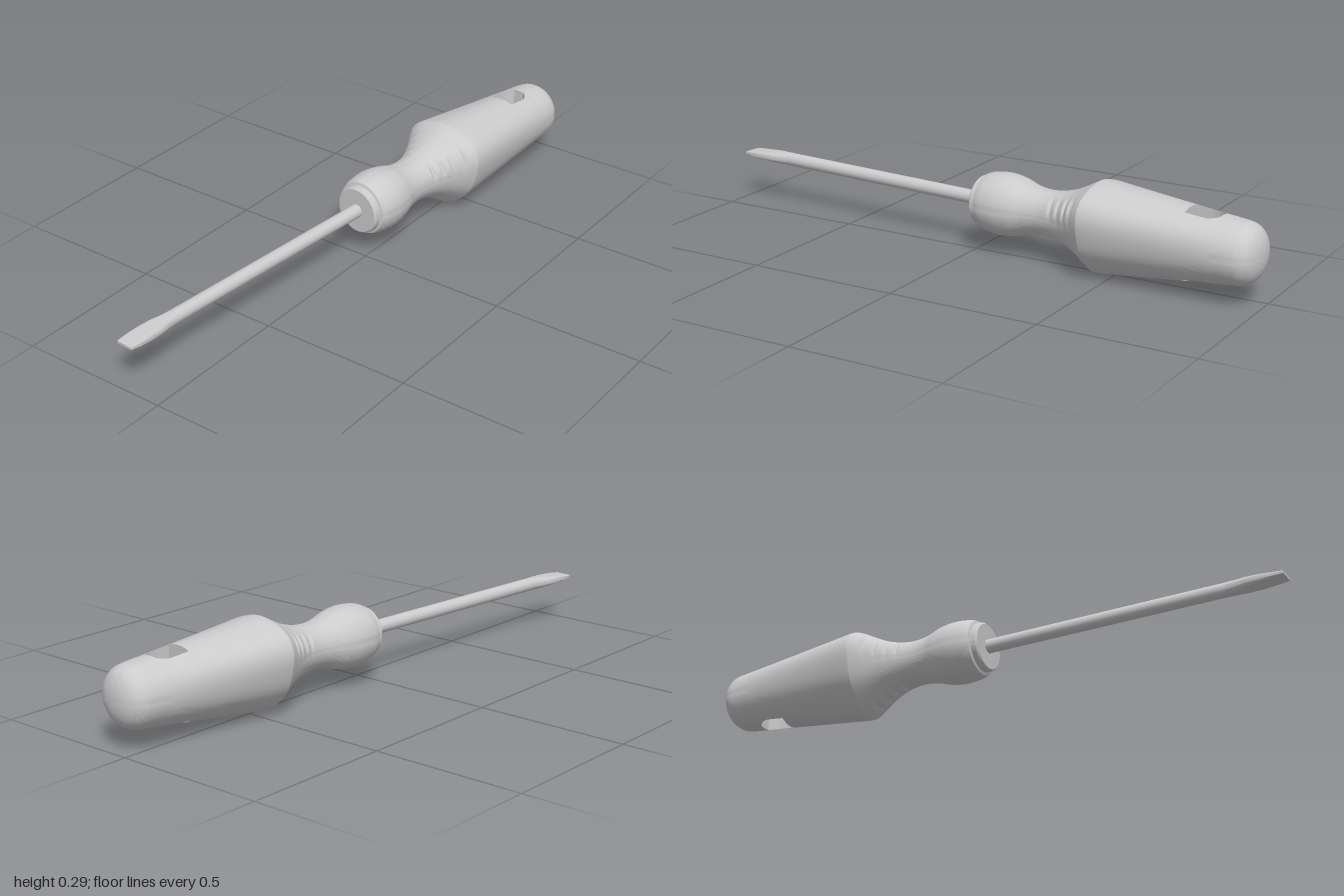
import * as THREE from 'three';
import { toCreasedNormals } from 'three/addons/utils/BufferGeometryUtils.js';

const SEG = 72, T = 6;            // segments round the handle, half-width of the slot in segments
const HOLE_START = 0.76, HOLE_END = 0.864, HOLE_HALF = 0.045;

// corner weight: three rounded ridges at 60, 180 and 300 degrees from the top
const ridge = (phi) => ((1 - Math.cos(3 * phi)) / 2) ** 2;

// rows of [distance along axis, radius between ridges, radius on ridges]
function smooth(rows, n) {
  return new THREE.CatmullRomCurve3(rows.map((r) => new THREE.Vector3(...r)), false, 'centripetal')
    .getPoints(n).map((p) => p.toArray());
}

function handleRings() {
  const front = [[0, 0.001, 0.001], [0, 0.074, 0.074], [0.005, 0.079, 0.079], [0.022, 0.08, 0.08]];
  const waist = smooth([
    [0.025, 0.089, 0.089], [0.045, 0.096, 0.096], [0.1, 0.101, 0.101], [0.15, 0.094, 0.094],
    [0.2, 0.079, 0.079], [0.25, 0.073, 0.073], [0.3, 0.077, 0.08], [0.36, 0.094, 0.104],
    [0.445, 0.137, 0.157]], 90);
  const taper = [];
  for (const s of [0.46, 0.52, 0.58, 0.64, 0.7, HOLE_START, 0.8, 0.83, 0.846, 0.857, HOLE_END, 0.88, 0.91]) {
    const t = (s - 0.46) / 0.47;
    taper.push([s, 0.137 - 0.039 * t, 0.157 - 0.058 * t]);
  }
  const dome = smooth([
    [0.93, 0.098, 0.099], [0.955, 0.093, 0.093], [0.978, 0.077, 0.077],
    [0.993, 0.05, 0.05], [0.999, 0.025, 0.025], [1.001, 0.0005, 0.0005]], 18);
  return [...front, ...waist, ...taper, ...dome];
}

// half-width of the slot, rounded off toward the butt
function slotHalf(s) {
  if (s < 0.82 || s > HOLE_END + 0.001) return HOLE_HALF;
  const t = Math.min(1, (s - 0.82) / 0.046);
  return HOLE_HALF * Math.sqrt(1 - t * t * 0.9);
}

function radius([s, mid, corner], phi) {
  let r = mid + (corner - mid) * ridge(phi);
  // finger notches across each ridge
  for (const n of [0.305, 0.338, 0.371, 0.404]) {
    const d = Math.abs(s - n) / 0.009;
    if (d < 1) r -= 0.008 * (1 - d * d) * ridge(phi) ** 2;
  }
  return r;
}

function buildHandle() {
  const rings = handleRings();
  const grid = rings.map((row) => {
    const w = slotHalf(row[0]);
    let a = 0.3, b = 0.3;
    for (let k = 0; k < 8; k++) {
      a = Math.asin(Math.min(0.6, w / radius(row, a)));
      b = Math.asin(Math.min(0.6, w / radius(row, Math.PI - b)));
    }
    const angle = (j) => {
      if (j < 0) return -angle(-j);
      if (j <= T) return (a * j) / T;
      if (j <= SEG / 2 - T) return a + ((Math.PI - a - b) * (j - T)) / (SEG / 2 - 2 * T);
      return Math.PI - (b * (SEG / 2 - j)) / T;
    };
    const ring = [];
    for (let j = 0; j < SEG; j++) {
      const phi = angle(j > SEG / 2 ? j - SEG : j), r = radius(row, phi);
      ring.push([row[0], r * Math.cos(phi), r * Math.sin(phi)]);
    }
    return ring;
  });

  const at = (i, j) => grid[i][(j + SEG) % SEG];
  const skin = [], slot = [];
  const quad = (out, a, b, c, d) => out.push(...a, ...b, ...c, ...a, ...c, ...d);
  const i0 = rings.findIndex((r) => r[0] === HOLE_START);
  const i1 = rings.findIndex((r) => r[0] === HOLE_END);

  // outer skin, left open at the slot
  for (let i = 0; i < grid.length - 1; i++) {
    for (let j = -T; j < SEG - T; j++) {
      const open = j < T || (j >= SEG / 2 - T && j < SEG / 2 + T);
      if (open && i >= i0 && i < i1) continue;
      quad(skin, at(i, j), at(i, j + 1), at(i + 1, j + 1), at(i + 1, j));
    }
  }
  // slot walls
  const h = SEG / 2;
  for (let i = i0; i < i1; i++) {
    quad(slot, at(i + 1, T), at(i + 1, h - T), at(i, h - T), at(i, T));
    quad(slot, at(i, -T), at(i, h + T), at(i + 1, h + T), at(i + 1, -T));
  }
  for (let j = -T; j < T; j++) {
    quad(slot, at(i0, j), at(i0, j + 1), at(i0, h - j - 1), at(i0, h - j));
    quad(slot, at(i1, h - j), at(i1, h - j - 1), at(i1, j + 1), at(i1, j));
  }
  return [skin, slot];
}

// flattened blade: rows of [distance, half height, half width]
function buildBlade() {
  const rows = [
    [-1.0, 0.0005, 0.0005], [-1.0, 0.004, 0.029], [-0.97, 0.008, 0.033], [-0.92, 0.013, 0.034],
    [-0.88, 0.017, 0.032], [-0.85, 0.02, 0.026], [-0.815, 0.0225, 0.0225]];
  const n = 24, out = [];
  const point = ([s, hy, hz], j) => {
    const phi = (j / n) * Math.PI * 2, e = 0.0225;
    // a round bar whose top and bottom are ground flat
    const y = Math.max(-hy, Math.min(hy, e * Math.cos(phi)));
    return [s, y, hz * Math.sin(phi)];
  };
  for (let i = 0; i < rows.length - 1; i++) {
    for (let j = 0; j < n; j++) {
      const a = point(rows[i], j), b = point(rows[i], j + 1);
      const c = point(rows[i + 1], j + 1), d = point(rows[i + 1], j);
      out.push(...a, ...b, ...c, ...a, ...c, ...d);
    }
  }
  return out;
}

export function createModel() {
  const model = new THREE.Group();
  model.name = 'screwdriver';
  const material = new THREE.MeshStandardMaterial({ color: 0xcccccc });

  const add = (name, geometry) => {
    const mesh = new THREE.Mesh(geometry, material);
    mesh.name = name;
    model.add(mesh);
    return mesh;
  };
  const fromTriangles = (positions, crease) => {
    const g = new THREE.BufferGeometry();
    g.setAttribute('position', new THREE.Float32BufferAttribute(positions, 3));
    return toCreasedNormals(g, crease);
  };

  const [skin, slot] = buildHandle();
  add('handle', fromTriangles(skin, 0.45));
  add('hangingSlot', fromTriangles(slot, 0.6));

  const shaft = add('shaft', new THREE.CylinderGeometry(0.0225, 0.0225, 0.835, 24));
  shaft.rotation.z = Math.PI / 2;
  shaft.position.x = -0.3975;
  add('blade', fromTriangles(buildBlade(), 0.4));

  // the whole tool lies slightly turned
  model.rotation.y = -0.081;
  model.position.set(0, 0.157, -0.036);
  const root = new THREE.Group();
  root.add(model);
  return root;
}
